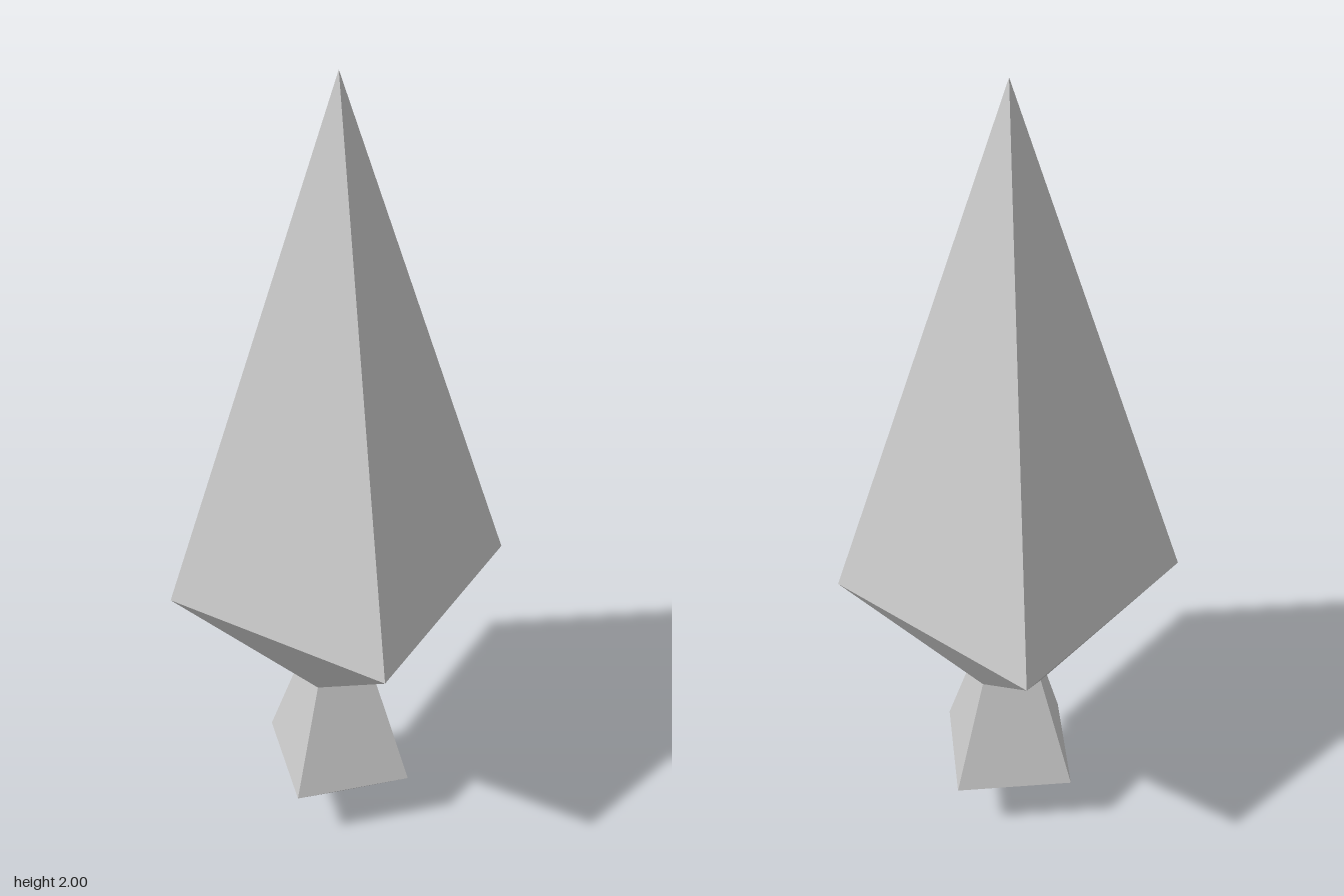
import * as THREE from 'three';

const material = new THREE.MeshStandardMaterial({ color: 0xcccccc, flatShading: true });

// Heights of the joints and sizes of the rings
const TIP = 2, SHOULDER = 0.717, NECK = 0.432, BUTT = 0.145;
const BLADE_R = 0.402, NECK_R = 0.07 * Math.SQRT2, BUTT_R = 0.14 * Math.SQRT2;

function addPart(group, name, geometry) {
  const mesh = new THREE.Mesh(geometry, material);
  mesh.name = name;
  group.add(mesh);
}

// Open four-sided section between two heights; turn is the angle of its first corner
function section(rTop, rBottom, yTop, yBottom, turn) {
  return new THREE.CylinderGeometry(rTop, rBottom, yTop - yBottom, 4, 1, true)
    .rotateY(turn)
    .translate(0, (yTop + yBottom) / 2, 0);
}

// Faceted joint from the diamond-shaped shoulder to the square neck
function collarGeometry() {
  const upper = (i) => corner(BLADE_R, SHOULDER, i * Math.PI / 2);
  const lower = (i) => corner(NECK_R, NECK, (i + 0.5) * Math.PI / 2);
  const points = [];
  for (let i = 0; i < 4; i++) {
    points.push(upper(i), lower(i), upper(i + 1));
    points.push(lower(i), lower(i + 1), upper(i + 1));
  }
  const geometry = new THREE.BufferGeometry().setFromPoints(points);
  geometry.computeVertexNormals();
  return geometry;
}

function corner(radius, y, angle) {
  return new THREE.Vector3(Math.sin(angle) * radius, y, Math.cos(angle) * radius);
}

export function createModel() {
  const group = new THREE.Group();
  group.name = 'spearhead';
  addPart(group, 'blade', section(0, BLADE_R, TIP, SHOULDER, 0));
  addPart(group, 'collar', collarGeometry());
  addPart(group, 'grip', section(NECK_R, BUTT_R, NECK, BUTT, Math.PI / 4));
  addPart(group, 'pommelPoint', section(BUTT_R, 0, BUTT, 0, Math.PI / 4));
  return group;
}
